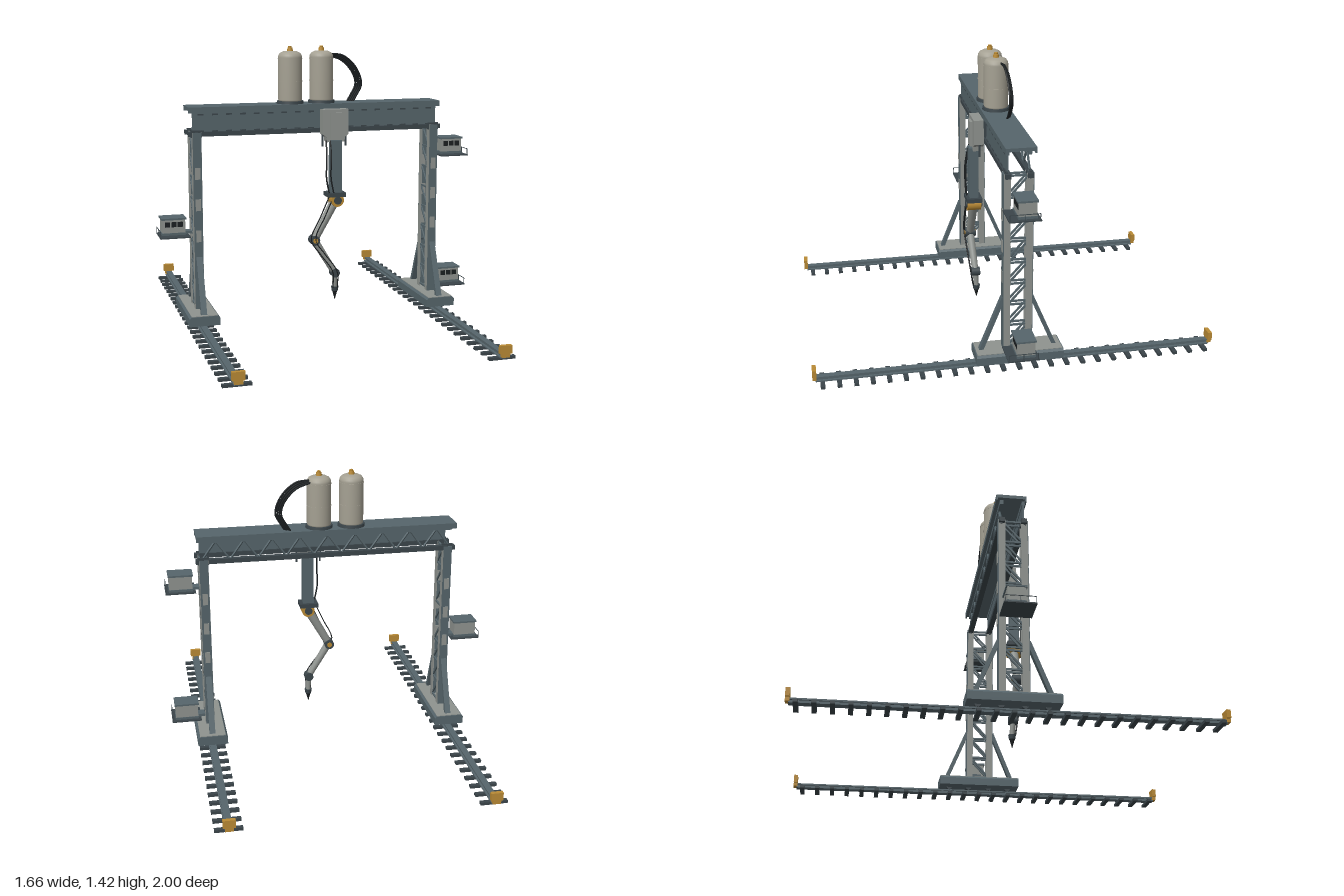
import * as THREE from 'three';

const V = (x, y, z) => new THREE.Vector3(x, y, z);
const mat = (color) => new THREE.MeshStandardMaterial({ color, side: THREE.DoubleSide });
const steel = mat(0x56656b), dark = mat(0x3b454a), pale = mat(0x8f938f),
  tankGrey = mat(0xa5a193), gold = mat(0xb98a35), black = mat(0x1b1f21);

function add(parent, name, geometry, material, x = 0, y = 0, z = 0) {
  const m = new THREE.Mesh(geometry, material);
  m.name = name;
  m.position.set(x, y, z);
  parent.add(m);
  return m;
}

function group(parent, name, x = 0, y = 0, z = 0) {
  const g = new THREE.Group();
  g.name = name;
  g.position.set(x, y, z);
  parent.add(g);
  return g;
}

// box given by its limits on each axis
function block(parent, name, [x0, x1], [y0, y1], [z0, z1], material) {
  return add(parent, name, new THREE.BoxGeometry(x1 - x0, y1 - y0, z1 - z0), material,
    (x0 + x1) / 2, (y0 + y1) / 2, (z0 + z1) / 2);
}

// square bar between two points
function bar(parent, name, a, b, w, h, material) {
  const d = b.clone().sub(a);
  const m = add(parent, name, new THREE.BoxGeometry(w, h, d.length()), material);
  m.position.copy(a).lerp(b, 0.5);
  m.quaternion.setFromUnitVectors(V(0, 0, 1), d.normalize());
  return m;
}

// round, tapered limb between two points
function limb(parent, name, a, b, ra, rb, material, sides = 16) {
  const d = b.clone().sub(a);
  const m = add(parent, name, new THREE.CylinderGeometry(rb, ra, d.length(), sides), material);
  m.position.copy(a).lerp(b, 0.5);
  m.quaternion.setFromUnitVectors(V(0, 1, 0), d.normalize());
  return m;
}

function cable(parent, name, points, r) {
  const curve = new THREE.CatmullRomCurve3(points);
  return add(parent, name, new THREE.TubeGeometry(curve, 28, r, 6), black);
}

function buildTrack(parent, x) {
  const g = group(parent, 'track', x);
  for (let i = 0; i < 25; i++)
    block(g, 'sleeper', [-0.067, 0.067], [0, 0.014], [-0.011, 0.011], dark).position.z = -0.953 + i * 0.0794;
  // I-shaped rail
  block(g, 'railFoot', [-0.02, 0.02], [0.014, 0.02], [-0.985, 0.985], steel);
  block(g, 'railWeb', [-0.008, 0.008], [0.02, 0.03], [-0.985, 0.985], steel);
  block(g, 'railHead', [-0.016, 0.016], [0.03, 0.038], [-0.985, 0.985], steel);
  for (const s of [-1, 1]) {
    const stop = group(g, 'endStop', 0, 0, s * 0.99);
    block(stop, 'buffer', [-0.03, 0.03], [0.04, 0.08], [-0.01, 0.01], gold);
    block(stop, 'bufferFoot', [-0.02, 0.02], [0.022, 0.04], [-0.01, 0.01], gold);
  }
}

function buildLeg(parent, x) {
  const g = group(parent, 'leg', x);
  // foot with bevelled edges running on wheels
  const s = new THREE.Shape([[-0.077, 0.05], [0.077, 0.05], [0.077, 0.088], [0.068, 0.098],
    [-0.068, 0.098], [-0.077, 0.088]].map(([a, b]) => new THREE.Vector2(a, b)));
  add(g, 'foot', new THREE.ExtrudeGeometry(s, { depth: 0.43, bevelEnabled: false }), steel, 0, 0, -0.215);
  block(g, 'footPlate', [-0.066, 0.066], [0.098, 0.101], [-0.21, 0.21], pale);
  for (const z of [-0.16, -0.055, 0.055, 0.16]) {
    const wheel = add(g, 'wheel', new THREE.CylinderGeometry(0.015, 0.015, 0.04, 16), dark, 0, 0.052, z);
    wheel.rotation.z = Math.PI / 2;
  }
  // two channel columns, open toward each other
  for (const [z, dir] of [[0.074, -1], [-0.064, 1]]) {
    const c = group(g, 'column', 0, 0, z);
    block(c, 'columnWeb', [-0.022, 0.022], [0.1, 1.005], [-0.004, 0.004], steel);
    for (const sx of [-1, 1])
      block(c, 'columnFlange', [-0.003, 0.003], [0.1, 1.005], [-0.016, 0.016], pale)
        .position.set(sx * 0.02, 0.5525, dir * 0.015);
    block(c, 'columnHead', [-0.028, 0.028], [0.98, 1.016], [-0.005, 0.005], dark).position.z = dir * 0.012;
    for (const y of [0.48, 0.64, 0.8])
      block(c, 'accessPlate', [-0.013, 0.013], [y - 0.03, y + 0.03], [-0.007, 0.007], pale);
    bar(g, 'footBrace', V(0, 0.095, z > 0 ? 0.185 : -0.18), V(0, 0.37, z), 0.03, 0.02, steel);
  }
  // lattice on both side faces
  for (const sx of [-0.017, 0.017]) {
    for (let i = 0; i < 8; i++) {
      const y = 0.115 + i * 0.11;
      bar(g, 'latticeRung', V(sx, y, 0.06), V(sx, y, -0.05), 0.008, 0.009, steel);
      bar(g, 'latticeDiagonal', V(sx, y, 0.055), V(sx, y + 0.11, -0.045), 0.007, 0.009, steel);
    }
    bar(g, 'latticeRung', V(sx, 0.995, 0.06), V(sx, 0.995, -0.05), 0.008, 0.009, steel);
  }
}

function buildBeam(parent) {
  const g = group(parent, 'bridgeBeam');
  block(g, 'deck', [-0.673, 0.667], [1.115, 1.132], [-0.078, 0.07], steel);
  for (const z of [0.066, -0.074])
    block(g, 'deckLip', [-0.673, 0.667], [1.103, 1.12], [z - 0.004, z + 0.004], steel);
  block(g, 'frontWeb', [-0.653, 0.647], [1.005, 1.1], [0.052, 0.06], steel);
  for (const z of [0.057, -0.05]) {
    block(g, 'lowerChord', [-0.673, 0.672], [0.985, 1.008], [z - 0.014, z + 0.014], dark);
    block(g, 'upperChord', [-0.653, 0.647], [1.092, 1.116], [z - 0.008, z + 0.008], steel);
  }
  // rear truss and the ties below the deck
  for (let i = 0; i < 18; i++) {
    const x0 = -0.645 + i * 0.0715, x1 = x0 + 0.0715, up = i % 2;
    bar(g, 'rearDiagonal', V(x0, up ? 1.1 : 1, -0.05), V(x1, up ? 1 : 1.1, -0.05), 0.008, 0.008, steel);
    block(g, 'frontClip', [x0 + 0.02, x0 + 0.05], [1.006, 1.014], [0.058, 0.064], dark);
    block(g, 'frontClip', [x0 + 0.02, x0 + 0.05], [1.09, 1.098], [0.058, 0.066], dark);
  }
}

function buildTank(parent, x) {
  const g = group(parent, 'tank', x, 1.132, -0.008);
  const profile = [[0, 0.012], [0.058, 0.012], [0.062, 0.02], [0.062, 0.235], [0.06, 0.246], [0.052, 0.258],
    [0.036, 0.266], [0, 0.27]].map(([a, b]) => new THREE.Vector2(a, b));
  add(g, 'tankBody', new THREE.LatheGeometry(profile, 32), tankGrey);
  add(g, 'tankBase', new THREE.CylinderGeometry(0.068, 0.07, 0.014, 32), dark, 0, 0.007, 0);
  for (const y of [0.115, 0.228])
    add(g, 'tankSeam', new THREE.CylinderGeometry(0.0632, 0.0632, 0.004, 32), tankGrey, 0, y, 0);
  add(g, 'valve', new THREE.CylinderGeometry(0.013, 0.016, 0.018, 12), gold, 0, 0.276, 0);
  add(g, 'valveCap', new THREE.CylinderGeometry(0.009, 0.009, 0.01, 8), gold, 0, 0.287, 0);
}

function buildCabin(parent, side, y) {
  const g = group(parent, 'cabin', side * 0.752, y, 0);
  block(g, 'cabinBody', [-0.058, 0.058], [0.012, 0.085], [-0.048, 0.038], pale);
  block(g, 'cabinRoof', [-0.063, 0.063], [0.085, 0.094], [-0.054, 0.044], steel);
  block(g, 'cabinSill', [-0.061, 0.061], [0.006, 0.018], [-0.051, 0.041], steel);
  for (const wx of [-0.032, 0, 0.032])
    block(g, 'window', [wx - 0.013, wx + 0.013], [0.048, 0.074], [0.034, 0.0395], black);
  block(g, 'platform', [-0.075, 0.078], [-0.002, 0.004], [-0.066, 0.086], dark);
  block(g, 'mount', [-0.095, -0.055], [0.006, 0.02], [-0.03, 0.02], steel).position.x *= side;
  // thin handrail on the outer side
  const rx = side * 0.074;
  for (const z of [-0.06, 0.01, 0.082])
    bar(g, 'railPost', V(rx, 0, z), V(rx, 0.034, z), 0.003, 0.003, dark);
  bar(g, 'handrail', V(rx, 0.034, -0.06), V(rx, 0.034, 0.082), 0.003, 0.003, dark);
}

function buildArm(parent) {
  // carriage gripping the front of the beam
  const c = group(parent, 'carriage');
  const s = new THREE.Shape([[0.007, 1.107], [0.144, 1.107], [0.144, 0.98], [0.125, 0.965], [0.122, 0.94],
    [0.029, 0.94], [0.026, 0.965], [0.007, 0.98]].map(([a, b]) => new THREE.Vector2(a, b)));
  add(c, 'carriagePlate', new THREE.ExtrudeGeometry(s, { depth: 0.05, bevelEnabled: false }), pale, 0, 0, 0.075);
  block(c, 'carriageHook', [0.012, 0.139], [1.02, 1.1], [0.055, 0.08], dark);
  block(c, 'motor', [0.045, 0.105], [0.96, 1.09], [0.12, 0.138], pale);
  for (const x of [0.014, 0.137]) limb(c, 'guidePin', V(x, 0.915, 0.095), V(x, 1.0, 0.095), 0.005, 0.006, dark, 8);

  const g = group(parent, 'arm');
  const z = 0.118, p0 = V(0.078, 0.64, z), p1 = V(-0.038, 0.432, z), p2 = V(0.075, 0.25, z - 0.008);
  const p3 = V(0.078, 0.16, z - 0.012);
  block(g, 'mast', [0.047, 0.104], [0.675, 0.95], [0.095, 0.142], steel);
  block(g, 'mastCollar', [0.025, 0.122], [0.658, 0.68], [0.078, 0.158], dark);
  const joint = (name, p, r, len, m) => {
    add(g, name, new THREE.CylinderGeometry(r, r, len, 20), m, p.x, p.y, p.z).rotation.x = Math.PI / 2;
  };
  joint('shoulderJoint', p0, 0.034, 0.07, gold);
  joint('shoulderHub', p0, 0.02, 0.085, dark);
  limb(g, 'upperArm', p0, p1, 0.024, 0.02, pale);
  joint('elbowJoint', p1, 0.025, 0.055, dark);
  joint('elbowHub', p1, 0.013, 0.063, gold);
  limb(g, 'foreArm', p1, p2, 0.02, 0.017, pale);
  joint('wristJoint', p2, 0.023, 0.045, dark);
  limb(g, 'wrist', p2, p3, 0.015, 0.012, pale);
  add(g, 'toolCollar', new THREE.CylinderGeometry(0.02, 0.016, 0.024, 12), dark, p3.x, 0.162, p3.z);
  limb(g, 'toolTip', V(0.078, 0.155, p3.z), V(0.078, 0.105, p3.z), 0.015, 0.001, black, 12);
  // supply cables along the arm
  for (const dx of [-0.012, 0.012]) {
    cable(g, 'mastCable', [V(0.035 + dx, 0.95, 0.13), V(0.032 + dx, 0.85, 0.15), V(0.03 + dx, 0.76, 0.152),
      V(0.045 + dx, 0.68, 0.15)], 0.004);
    cable(g, 'armCable', [V(0.05 + dx, 0.67, 0.147), V(0.0 + dx, 0.56, 0.15), V(-0.05 + dx, 0.44, 0.148),
      V(0.0 + dx, 0.36, 0.143), V(0.07 + dx, 0.26, 0.135), V(0.075 + dx, 0.17, 0.122)], 0.003);
  }
}

export function createModel() {
  const model = new THREE.Group();
  model.name = 'gantryCrane';
  for (const x of [-0.633, 0.633]) {
    buildTrack(model, x);
    buildLeg(model, x);
  }
  buildBeam(model);
  for (const x of [-0.13, 0.037]) buildTank(model, x);
  // hose bundle from the tank to the deck
  for (let i = 0; i < 4; i++) {
    const o = i * 0.009, z = -0.022 - i * 0.006;
    cable(model, 'hose', [V(0.08, 1.382 - o * 0.3, z), V(0.16, 1.372 - o, z - 0.006), V(0.235 - o * 0.5, 1.305 - o, z - 0.01),
      V(0.264 - o, 1.22, z - 0.012), V(0.235 - o, 1.16, z - 0.01), V(0.215 - o, 1.128, z - 0.006)], 0.005);
  }
  buildArm(model);
  buildCabin(model, 1, 0.836);
  buildCabin(model, 1, 0.122);
  buildCabin(model, -1, 0.478);
  return model;
}
